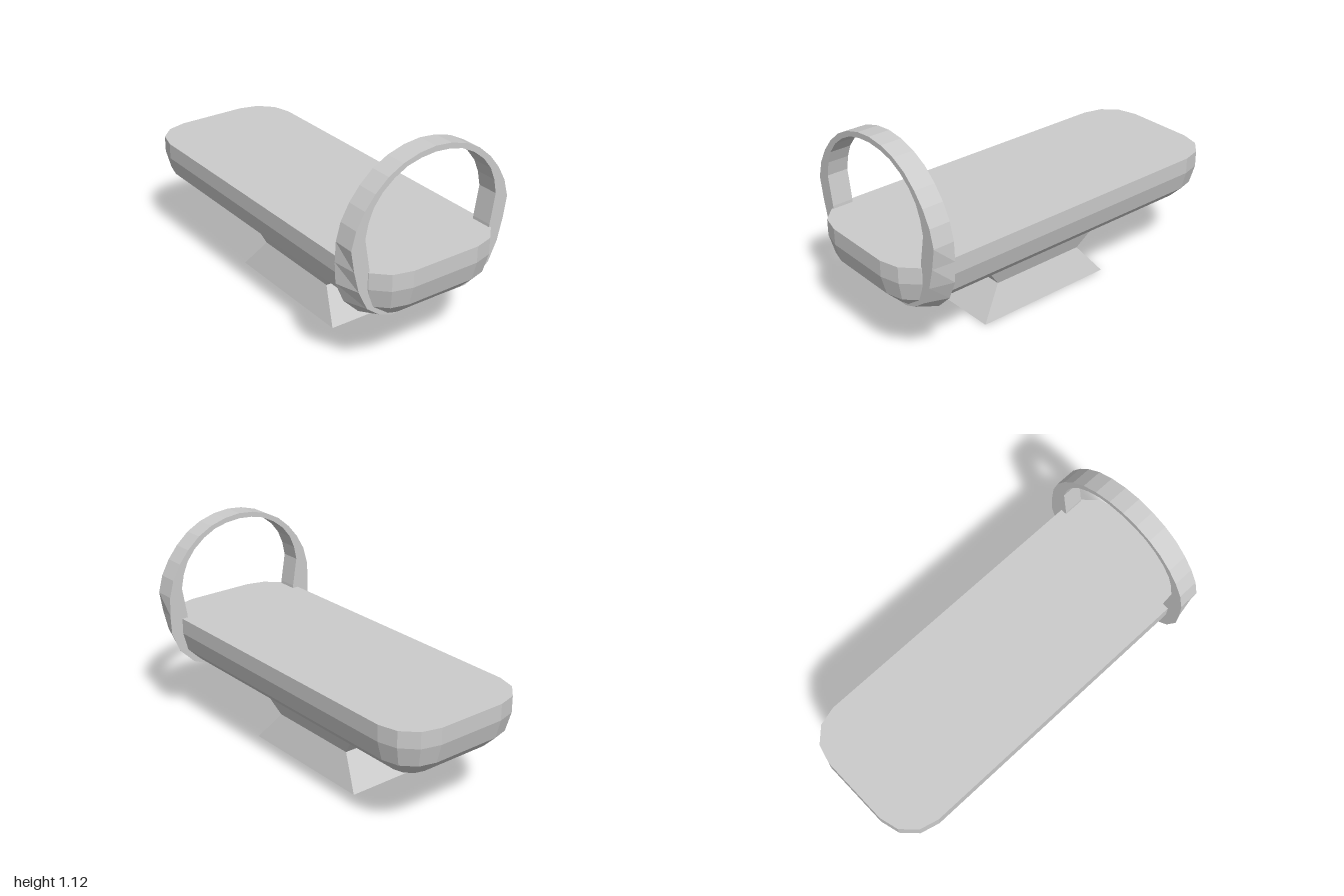
import * as THREE from 'three';

const material = new THREE.MeshStandardMaterial({ color: 0xcccccc, flatShading: true });

// Joins equal-sized point loops with quads; either closes back on the first loop or caps both ends.
function skin(name, loops, closed) {
  const out = [];
  const tri = (...pts) => pts.forEach((p) => out.push(...p));
  const n = loops[0].length;
  const last = closed ? loops.length : loops.length - 1;
  for (let i = 0; i < last; i++) {
    const lo = loops[i], hi = loops[(i + 1) % loops.length];
    for (let j = 0; j < n; j++) {
      const k = (j + 1) % n;
      tri(lo[j], hi[j], hi[k]);
      tri(lo[j], hi[k], lo[k]);
    }
  }
  if (!closed) {
    const bottom = loops[0], top = loops[loops.length - 1];
    for (let j = 1; j < n - 1; j++) {
      tri(bottom[0], bottom[j], bottom[j + 1]);
      tri(top[0], top[j + 1], top[j]);
    }
  }
  const geometry = new THREE.BufferGeometry();
  geometry.setAttribute('position', new THREE.Float32BufferAttribute(out, 3));
  geometry.computeVertexNormals();
  const mesh = new THREE.Mesh(geometry, material);
  mesh.name = name;
  return mesh;
}

// Horizontal rectangle with corners rounded in three steps
function roundedLoop(halfX, halfZ, radius, y) {
  const loop = [];
  const signs = [[1, 1], [-1, 1], [-1, -1], [1, -1]];
  signs.forEach(([sx, sz], corner) => {
    for (let s = 0; s <= 3; s++) {
      const t = (corner + s / 3) * Math.PI / 2;
      loop.push([sx * halfX + radius * Math.cos(t), y, sz * halfZ + radius * Math.sin(t)]);
    }
  });
  return loop;
}

// Bed: flat top, short upright rim, rounded underside
function makeBed() {
  const r = 0.2, loops = [];
  for (let s = 0; s <= 3; s++) {
    const t = (s / 3) * Math.PI / 2;
    loops.push(roundedLoop(0.187, 0.8, r * Math.sin(t), 0.53 - r * Math.cos(t)));
  }
  loops.push(roundedLoop(0.187, 0.8, r, 0.615));
  return skin('bed', loops, false);
}

// Pedestal: rectangular, narrowed to a waist
function makePedestal() {
  const levels = [[0, 0.182, 0.4], [0.165, 0.125, 0.27], [0.335, 0.182, 0.4]];
  return skin('pedestal', levels.map(([y, x, z]) =>
    [[x, y, z], [-x, y, z], [-x, y, -z], [x, y, -z]]), false);
}

// Hoop: right-hand half from the top down, then mirrored
function makeHoop() {
  // outer x, y and inner x, y
  const arch = [
    [0, 1.125, 0, 1.097], [0.09, 1.116, 0.08, 1.09], [0.18, 1.09, 0.155, 1.072],
    [0.26, 1.048, 0.227, 1.035], [0.33, 0.987, 0.29, 0.985], [0.385, 0.92, 0.337, 0.925],
    [0.43, 0.84, 0.364, 0.86], [0.455, 0.75, 0.38, 0.785],
  ].map(([ox, oy, ix, iy]) => [ox, oy, ox, oy, ix, iy]);
  // front outer, back outer, inner: the cradle flares towards the back
  const cradle = [
    [0.437, 0.64, 0.46, 0.65, 0.354, 0.63], [0.41, 0.53, 0.455, 0.54, 0.348, 0.53],
    [0.362, 0.43, 0.41, 0.435, 0.3, 0.44], [0.295, 0.378, 0.325, 0.35, 0.25, 0.405],
    [0.22, 0.35, 0.22, 0.307, 0.185, 0.367],
  ];
  const front = 0.895, back = 0.785;
  const half = [...arch, ...cradle];
  const section = (side) => ([fx, fy, bx, by, ix, iy]) => [
    [side * fx, fy, front], [side * bx, by, back], [side * ix, iy, back], [side * ix, iy, front],
  ];
  const loops = [...half.map(section(1)), ...half.slice(1).reverse().map(section(-1))];
  return skin('hoop', loops, true);
}

export function createModel() {
  const model = new THREE.Group();
  model.name = 'scannerBed';
  model.add(makePedestal(), makeBed(), makeHoop());
  return model;
}
